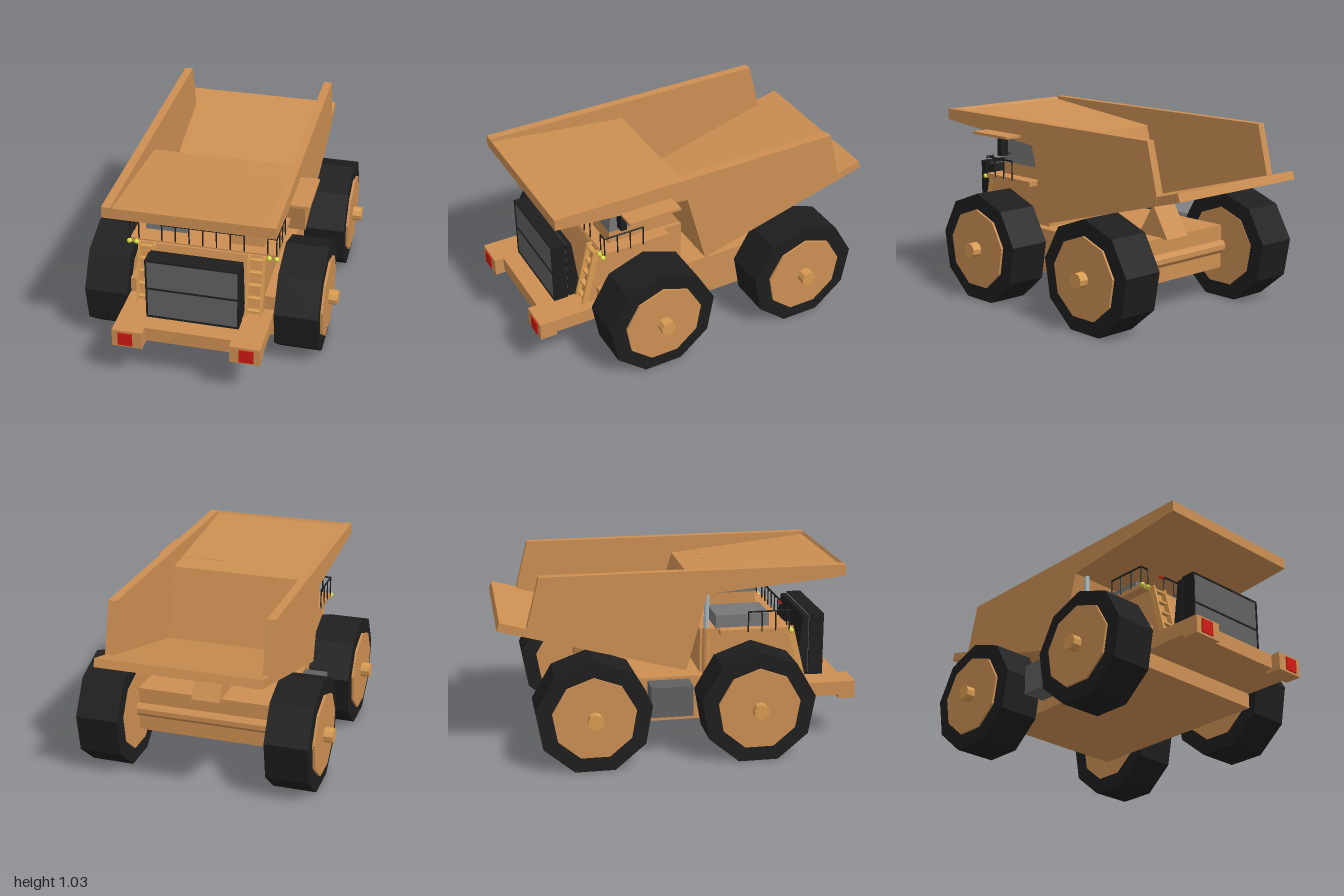
import * as THREE from 'three';

const paint = (color) => new THREE.MeshStandardMaterial({ color, flatShading: true });
const tan = paint(0xcc8f52), brass = paint(0xd99c52), black = paint(0x1e1e1e);
const grey = paint(0x606060), glass = paint(0x777777), steel = paint(0xa9b8bc);
const red = paint(0xd01810), yellow = paint(0xd8e040);

export function createModel() {
  const root = new THREE.Group();
  root.name = 'dumpTruck';

  const add = (name, geometry, material, parent = root) => {
    const mesh = new THREE.Mesh(geometry, material);
    mesh.name = name;
    parent.add(mesh);
    return mesh;
  };
  // Box given by its limits on each axis
  const box = (name, mat, [x0, x1], [y0, y1], [z0, z1], parent) => {
    const g = new THREE.BoxGeometry(x1 - x0, y1 - y0, z1 - z0);
    g.translate((x0 + x1) / 2, (y0 + y1) / 2, (z0 + z1) / 2);
    return add(name, g, mat, parent);
  };
  // Side profile of [z, y] points, extruded from x0 to x1
  const profile = (name, mat, points, x0, x1, parent) => {
    const shape = new THREE.Shape(points.map(([z, y]) => new THREE.Vector2(z, y)));
    const g = new THREE.ExtrudeGeometry(shape, { depth: x1 - x0, bevelEnabled: false });
    g.rotateY(-Math.PI / 2).translate(x1, 0, 0);
    return add(name, g, mat, parent);
  };
  // Straight rod between two points
  const rod = (name, mat, a, b, r, parent, sides = 6) => {
    const p = new THREE.Vector3(...a), q = new THREE.Vector3(...b);
    const dir = q.clone().sub(p);
    const mesh = add(name, new THREE.CylinderGeometry(r, r, dir.length(), sides), mat, parent);
    mesh.position.copy(p).add(q).multiplyScalar(0.5);
    mesh.quaternion.setFromUnitVectors(new THREE.Vector3(0, 1, 0), dir.normalize());
    return mesh;
  };
  // Nine-sided disc along x with one corner pointing up
  const disc = (name, mat, r, x0, x1, parent) => {
    const g = new THREE.CylinderGeometry(r, r, x1 - x0, 9, 1, false, Math.PI / 2);
    g.rotateZ(Math.PI / 2).translate((x0 + x1) / 2, 0, 0);
    return add(name, g, mat, parent);
  };

  // Wheels and axles
  for (const [end, z] of [['front', 0.38], ['rear', -0.513]]) {
    for (const side of [1, -1]) {
      const wheel = new THREE.Group();
      wheel.name = end + (side > 0 ? 'Left' : 'Right') + 'Wheel';
      wheel.position.set(0, 0.3, z);
      const span = (a, b) => (side > 0 ? [a, b] : [-b, -a]);
      disc('tyre', black, 0.317, ...span(0.408, 0.645), wheel);
      disc('rim', tan, 0.228, ...span(0.405, 0.658), wheel);
      disc('hubCap', brass, 0.042, ...span(0.64, 0.71), wheel);
      root.add(wheel);
    }
    rod(end + 'Axle', tan, [-0.41, 0.3, z], [0.41, 0.3, z], 0.04, root, 9);
  }

  // Chassis, side tank and bed pivot
  box('chassis', tan, [-0.4, 0.4], [0.175, 0.425], [-0.52, 0.63]);
  box('sideTank', grey, [-0.53, -0.4], [0.24, 0.41], [-0.19, 0.04]);
  profile('bedPivot', tan, [[-0.56, 0.42], [-0.34, 0.42], [-0.45, 0.6]], -0.08, 0.08);

  // Front bumper with square lamps
  box('bumper', tan, [-0.4, 0.4], [0.26, 0.34], [0.55, 0.94]);
  for (const s of [1, -1]) {
    const pair = (a, b) => (s > 0 ? [a, b] : [-b, -a]);
    box('bumperEnd', tan, pair(0.235, 0.4), [0.24, 0.34], [0.9, 0.993]);
    box('bumperLamp', red, pair(0.288, 0.366), [0.252, 0.327], [0.98, 1]);
  }

  // Engine body and deck
  profile('engineBody', tan,
    [[0.69, 0.34], [0.61, 0.66], [0.6, 0.672], [0.11, 0.672], [0.11, 0.34]], -0.345, 0.345);
  box('deck', tan, [-0.4, 0.4], [0.645, 0.674], [0.215, 0.605]);
  box('airCleaner', glass, [-0.342, -0.112], [0.67, 0.745], [0.2, 0.5]);

  // Radiator with dark frame and shroud
  box('radiator', grey, [-0.243, 0.243], [0.352, 0.695], [0.755, 0.838]);
  profile('radiatorShroud', black, [[0.755, 0.345], [0.755, 0.69], [0.725, 0.69], [0.68, 0.345]], -0.25, 0.25);
  for (const y of [0.345, 0.523, 0.695])
    box('radiatorBar', black, [-0.252, 0.252], [y - 0.003, y + 0.006], [0.76, 0.843]);
  for (const x of [-0.248, 0.248])
    box('radiatorEdge', black, [x - 0.004, x + 0.004], [0.345, 0.7], [0.76, 0.843]);

  // Cab: painted base, glazed upper part, overhead plate
  profile('cabBase', tan, [[0.54, 0.672], [0.533, 0.743], [0.165, 0.743], [0.11, 0.672]], 0.13, 0.322);
  profile('cabWindows', glass, [[0.533, 0.743], [0.52, 0.896], [0.262, 0.896], [0.165, 0.755], [0.19, 0.743]], 0.13, 0.322);
  box('cabCanopy', tan, [0.13, 0.555], [0.932, 0.946], [0.225, 0.525]);
  box('mirror', black, [0.35, 0.4], [0.79, 0.912], [0.465, 0.5]);
  rod('mirrorBracket', black, [0.3, 0.797, 0.48], [0.36, 0.797, 0.48], 0.005);

  // Hoist cylinder and hoses
  rod('hoistSleeve', tan, [-0.375, 0.42, 0.14], [-0.375, 0.69, 0.14], 0.022, root, 10);
  rod('hoistRam', steel, [-0.375, 0.66, 0.14], [-0.375, 0.905, 0.14], 0.015, root, 10);
  for (const x of [0.105, 0.121])
    rod('hose', red, [x, 0.672, 0.15], [x, 0.9, 0.15], 0.006);
  rod('hoseEnd', red, [-0.25, 0.772, 0.59], [-0.205, 0.772, 0.59], 0.006);

  // Deck railings
  const rail = (points, step) => {
    const group = new THREE.Group();
    group.name = 'railing';
    root.add(group);
    const [a, b] = points.map((p) => new THREE.Vector3(...p));
    rod('topRail', black, a.toArray(), b.toArray(), 0.005, group);
    const n = Math.max(1, Math.round(a.distanceTo(b) / step));
    for (let i = 0; i <= n; i++) {
      const p = a.clone().lerp(b, i / n);
      rod('post', black, [p.x, 0.66, p.z], [p.x, p.y, p.z], 0.004, group);
    }
  };
  rail([[-0.225, 0.773, 0.6], [0.225, 0.773, 0.6]], 0.075);

  for (const s of [1, -1]) {
    rail([[s * 0.4, 0.773, 0.6], [s * 0.4, 0.773, 0.37]], 0.077);
    rail([[s * 0.352, 0.773, 0.6], [s * 0.4, 0.773, 0.6]], 0.08);

    // Ladder leaning along the front slope
    const ladder = new THREE.Group();
    ladder.name = 'ladder';
    root.add(ladder);
    for (const x of [0.259, 0.341]) {
      const d = Math.min(s * (x - 0.006), s * (x + 0.006));
      profile('ladderRail', brass, [[0.685, 0.34], [0.72, 0.34], [0.64, 0.665], [0.605, 0.665]], d, d + 0.012, ladder);
    }
    for (let i = 0; i < 5; i++) {
      const y = 0.365 + i * 0.07, z = 0.708 - (y - 0.34) * 0.246;
      const [x0, x1] = s > 0 ? [0.259, 0.341] : [-0.341, -0.259];
      box('rung', brass, [x0, x1], [y - 0.006, y + 0.006], [z - 0.02, z + 0.006], ladder);
    }

    // Headlights
    for (const x of [0.363, 0.403]) {
      const lamp = add('headlight', new THREE.SphereGeometry(0.014, 10, 8), yellow);
      lamp.position.set(s * x, 0.657, 0.612);
    }
  }

  // Dump bed: floor with front canopy, and two side walls
  const bed = new THREE.Group();
  bed.name = 'dumpBed';
  root.add(bed);
  profile('bedFloor', tan, [[0.895, 1.028], [0.885, 1.012], [0.085, 0.93], [-0.03, 0.53], [-0.985, 0.793],
    [-1, 0.748], [0.015, 0.475], [0.13, 0.9], [0.895, 0.967]], -0.449, 0.449, bed);
  for (const x of [-0.452, 0.405])
    profile('bedWall', tan, [[0.895, 1.03], [-0.772, 1.03], [-0.842, 0.753], [-0.84, 0.708],
      [0.015, 0.475], [0.13, 0.9], [0.895, 0.967]], x, x + 0.047, bed);

  return root;
}
